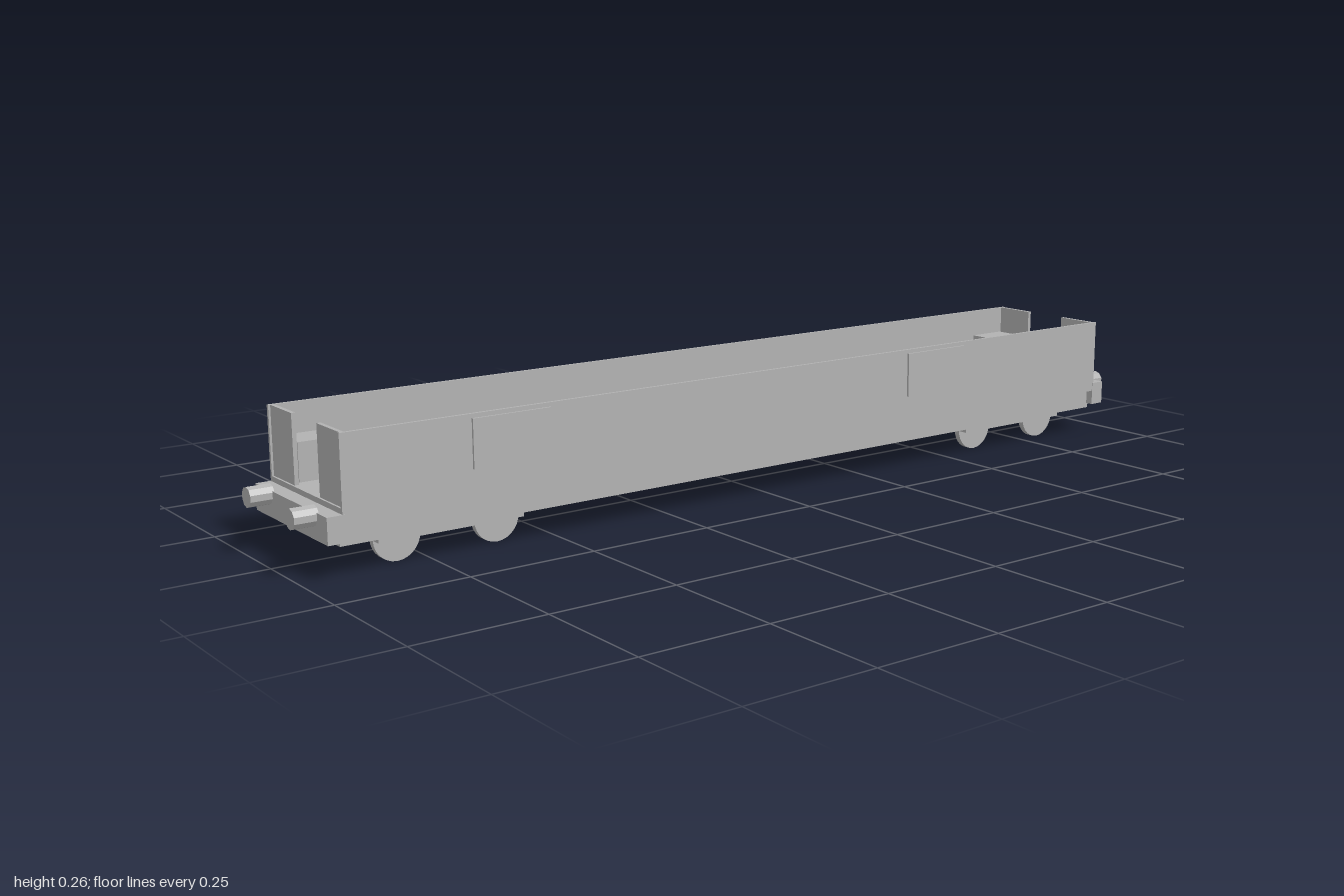
import * as THREE from 'three';

export function createModel() {
  const model = new THREE.Group();
  model.name = 'railWagon';
  const grey = new THREE.MeshStandardMaterial({ color: 0xb2b2b2 });
  grey.name = 'grey';

  const add = (name, geometry, x, y, z) => {
    const mesh = new THREE.Mesh(geometry, grey);
    mesh.name = name;
    mesh.position.set(x, y, z);
    model.add(mesh);
    return mesh;
  };
  // Box given by its limits on each axis
  const box = (name, x0, x1, y0, y1, z0, z1) =>
    add(name, new THREE.BoxGeometry(x1 - x0, y1 - y0, z1 - z0),
      (x0 + x1) / 2, (y0 + y1) / 2, (z0 + z1) / 2);
  // Box given by its centre in x and z
  const block = (name, x, z, w, d, y0, y1) =>
    box(name, x - w / 2, x + w / 2, y0, y1, z - d / 2, z + d / 2);

  // Deck and the narrower frame below it
  const floor = 0.126;
  block('deck', 0, 0, 0.29, 1.86, 0.098, floor);
  block('underframe', 0, 0, 0.26, 1.86, 0.057, 0.098);

  // Centre spine on the floor
  block('floorSpine', 0, 0, 0.046, 0.8, floor, 0.16);

  const bufferGeometry = new THREE.CylinderGeometry(0.019, 0.019, 0.045, 10).toNonIndexed();
  bufferGeometry.computeVertexNormals();
  bufferGeometry.rotateX(Math.PI / 2);
  const wheelGeometry = new THREE.CylinderGeometry(0.046, 0.046, 0.013, 28);
  wheelGeometry.rotateZ(Math.PI / 2);

  for (const end of [-1, 1]) {
    block('bufferBeam', 0, end * 0.9425, 0.292, 0.033, 0.067, 0.116);
    block('floorBlock', 0, end * 0.508, 0.092, 0.056, floor, 0.187);
    for (const side of [-1, 1]) {
      // End panels, corner boxes and buffers
      block('endPanel', side * 0.095, end * 0.922, 0.088, 0.008, floor, 0.256);
      block('cornerBox', side * 0.1, end * 0.867, 0.07, 0.088, floor, 0.199);
      add('buffer', bufferGeometry, side * 0.09, 0.108, end * 0.9775);
      // Bogie bar with two wheels
      block('bogieBar', side * 0.101, end * 0.705, 0.02, 0.29, 0.044, 0.058);
      for (const z of [0.605, 0.805])
        add('wheel', wheelGeometry, side * 0.0845, 0.046, end * z);
    }
  }

  // Long side walls
  for (const side of [-1, 1])
    block('sideWall', side * 0.142, 0, 0.006, 1.86, floor, 0.256);

  // Thin plates on the outside of the walls
  for (const [side, z] of [[1, 0.6], [1, -0.43], [-1, 0.3]])
    block('sidePlate', side * 0.147, z, 0.005, 0.16, 0.157, 0.248);

  return model;
}
